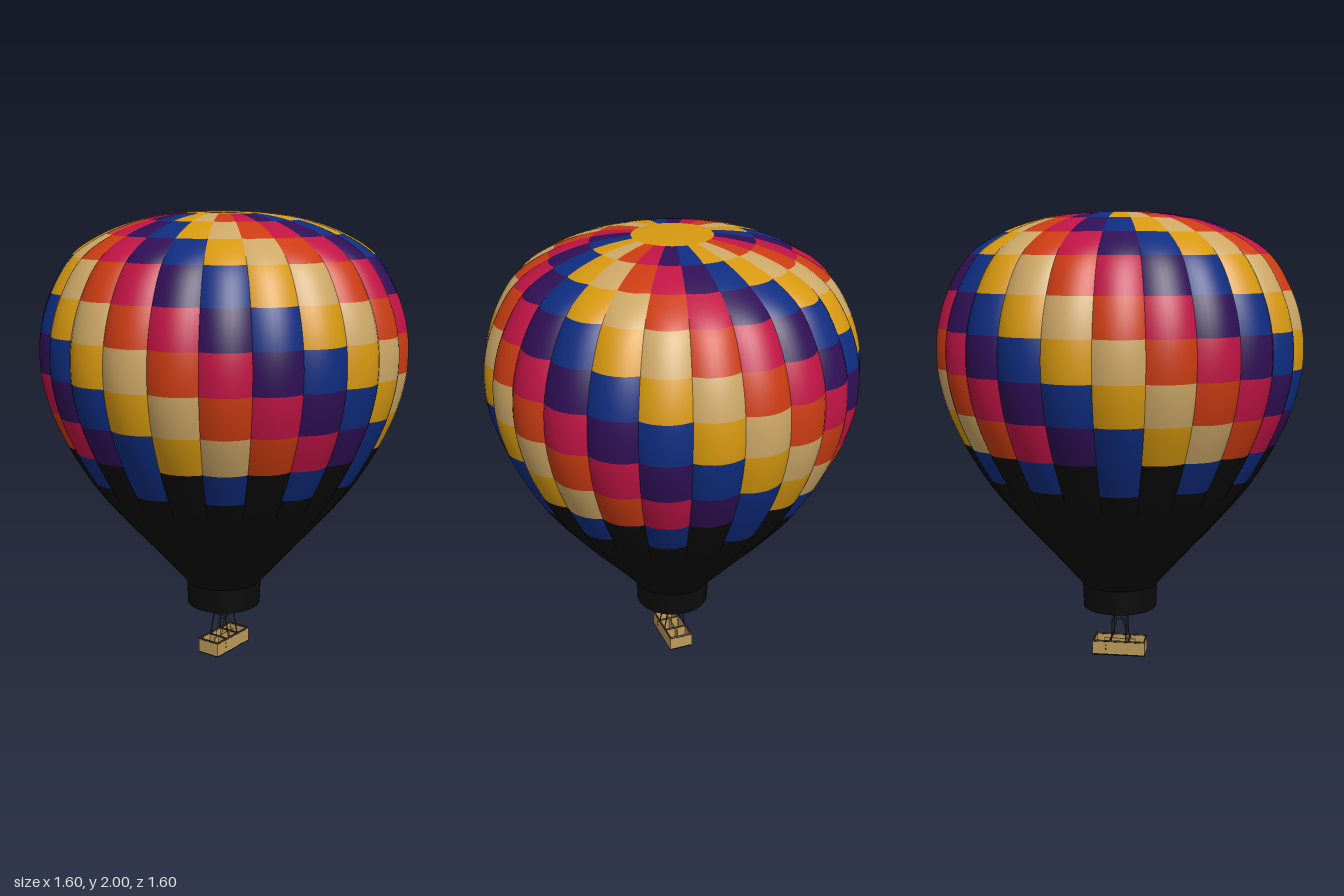
import * as THREE from 'three';
import { mergeGeometries } from 'three/addons/utils/BufferGeometryUtils.js';

const GORES = 24;
const STEP = (Math.PI * 2) / GORES;

function mat(name, color, side = THREE.DoubleSide) {
  const m = new THREE.MeshStandardMaterial({ color, side });
  m.name = name;
  return m;
}

// Envelope profile (radius, height); each knot from 5 to 13 is a panel seam
const profile = new THREE.CatmullRomCurve3([
  [0.17, 0.34], [0.31, 0.5], [0.45, 0.655], [0.57, 0.8], [0.617, 0.87],
  [0.697, 1.01], [0.765, 1.17], [0.802, 1.34], [0.797, 1.51], [0.748, 1.67],
  [0.653, 1.82], [0.512, 1.91], [0.342, 1.968], [0.17, 1.994], [0, 2],
].map(([r, y]) => new THREE.Vector3(r, y, 0)));
const LAST = 14;

// Point on the billowed fabric: gore index, position u across it, knot k up it
function fabric(gore, u, k) {
  const p = profile.getPoint(THREE.MathUtils.clamp(k / LAST, 0, 1));
  const fade = THREE.MathUtils.clamp(Math.min(k / 4, (13 - k) / 3), 0, 1);
  const r = p.x * (1 - 0.035 * fade * (1 - 4 * u * (1 - u)));
  const a = (gore + u) * STEP;
  return new THREE.Vector3(r * Math.sin(a), p.y, r * Math.cos(a));
}

// One fabric panel between knots k0 and k1 of a gore
function panel(gore, k0, k1) {
  const nu = 8, nv = 5 * (k1 - k0), e = 0.005;
  const pos = [], nor = [], idx = [];
  for (let j = 0; j <= nv; j++) {
    for (let i = 0; i <= nu; i++) {
      const u = i / nu, k = k0 + ((k1 - k0) * j) / nv;
      pos.push(...fabric(gore, u, k).toArray());
      const du = fabric(gore, u + e, k).sub(fabric(gore, u - e, k));
      const dv = fabric(gore, u, k + e).sub(fabric(gore, u, k - e));
      const n = k > LAST - 0.01 ? new THREE.Vector3(0, 1, 0) : du.cross(dv).normalize();
      nor.push(...n.toArray());
      if (i < nu && j < nv) {
        const a = j * (nu + 1) + i, b = a + nu + 1;
        idx.push(a, a + 1, b + 1, a, b + 1, b);
      }
    }
  }
  const g = new THREE.BufferGeometry();
  g.setAttribute('position', new THREE.Float32BufferAttribute(pos, 3));
  g.setAttribute('normal', new THREE.Float32BufferAttribute(nor, 3));
  g.setIndex(idx);
  return g;
}

export function createModel() {
  const model = new THREE.Group();
  model.name = 'hotAirBalloon';

  const palette = [
    mat('gold', 0xd6980f), mat('cream', 0xcca766), mat('orange', 0xcb3c12),
    mat('crimson', 0xc01445), mat('purple', 0x301056), mat('blue', 0x0f2d80),
  ];
  const black = mat('black', 0x0b0b0b);
  const wicker = mat('wicker', 0xbd9a58);
  const darkBrown = mat('darkBrown', 0x35271a);
  const metal = mat('metal', 0x2c2c30);

  function add(parent, name, geometry, material, x = 0, y = 0, z = 0) {
    const m = new THREE.Mesh(geometry, material);
    m.name = name;
    m.position.set(x, y, z);
    parent.add(m);
    return m;
  }
  function rod(parent, name, from, to, radius, material, sides = 6) {
    const a = new THREE.Vector3(...from), b = new THREE.Vector3(...to);
    const m = add(parent, name, new THREE.CylinderGeometry(radius, radius, a.distanceTo(b), sides), material);
    m.position.copy(a).add(b).multiplyScalar(0.5);
    m.quaternion.setFromUnitVectors(new THREE.Vector3(0, 1, 0), b.sub(a).normalize());
    return m;
  }

  // Envelope: colours spiral one gore per row around the body
  const envelope = new THREE.Group();
  envelope.name = 'envelope';
  model.add(envelope);
  const patches = palette.map(() => []);
  const dark = [];
  for (let i = 0; i < GORES; i++) {
    dark.push(panel(i, 0, 4));
    (i % 2 ? dark : patches[5]).push(panel(i, 4, 5));
    for (let row = 0; row < 8; row++) patches[(5 + i + row) % 6].push(panel(i, 5 + row, 6 + row));
    patches[0].push(panel(i, 13, 14));
  }
  palette.forEach((m, c) => add(envelope, m.name + 'Panels', mergeGeometries(patches[c]), m));
  add(envelope, 'lowerEnvelope', mergeGeometries(dark), black);

  // Skirt around the open mouth
  add(envelope, 'skirt', new THREE.CylinderGeometry(0.17, 0.166, 0.115, 48, 1, true), black, 0, 0.2875, 0);

  // Basket: floor, walls, partitions and padded rim
  const basket = new THREE.Group();
  basket.name = 'basket';
  model.add(basket);
  const W = 0.055, D = 0.12, H = 0.066;
  add(basket, 'floor', new THREE.BoxGeometry(2 * W, 0.006, 2 * D), black, 0, 0.003, 0);
  for (const s of [-1, 1]) {
    add(basket, 'sideWall', new THREE.BoxGeometry(0.006, H - 0.004, 2 * D), wicker, s * (W - 0.003), H / 2 + 0.002, 0);
    add(basket, 'endWall', new THREE.BoxGeometry(2 * W - 0.012, H - 0.004, 0.006), wicker, 0, H / 2 + 0.002, s * (D - 0.003));
    add(basket, 'partition', new THREE.BoxGeometry(2 * W - 0.012, H - 0.008, 0.005), wicker, 0, H / 2 + 0.002, s * 0.042);
    rod(basket, 'sideRim', [s * (W - 0.003), H, -D], [s * (W - 0.003), H, D], 0.0045, darkBrown, 8);
    rod(basket, 'endRim', [-W, H, s * (D - 0.003)], [W, H, s * (D - 0.003)], 0.0045, darkBrown, 8);
    rod(basket, 'partitionRim', [-W, H - 0.002, s * 0.042], [W, H - 0.002, s * 0.042], 0.004, darkBrown, 8);
    for (const y of [0.028, 0.047]) {
      add(basket, 'foothold', new THREE.BoxGeometry(0.002, 0.008, 0.007), darkBrown, s * W, y, 0.058 * s);
    }
  }
  add(basket, 'centrePartition', new THREE.BoxGeometry(0.005, H - 0.008, 2 * D - 0.084 - 0.012), wicker, 0, H / 2 + 0.002, 0);

  // Burner frame on four uprights, with burners and suspension ropes
  const burner = new THREE.Group();
  burner.name = 'burnerFrame';
  model.add(burner);
  const fx = 0.033, fz = 0.031, fy = 0.167;
  for (const s of [-1, 1]) {
    rod(burner, 'frameSide', [s * fx, fy, -fz], [s * fx, fy, fz], 0.0025, metal);
    rod(burner, 'frameEnd', [-fx, fy, s * fz], [fx, fy, s * fz], 0.0025, metal);
    for (const t of [-1, 1]) {
      rod(burner, 'upright', [s * 0.052, H, t * 0.033], [s * fx, fy, t * fz], 0.0028, metal);
      rod(burner, 'fuelHose', [s * 0.016, H - 0.01, t * 0.042], [s * 0.012, fy, t * 0.012], 0.001, metal);
      add(burner, 'burner', new THREE.CylinderGeometry(0.009, 0.008, 0.02, 12), metal, s * 0.012, 0.177, t * 0.012);
    }
    rod(burner, 'crossBar', [-fx, fy, s * 0.012], [fx, fy, s * 0.012], 0.002, metal);
  }
  for (let i = 0; i < GORES; i++) {
    const a = (i + 0.5) * STEP, x = Math.sin(a), z = Math.cos(a);
    rod(burner, 'rope', [Math.sign(x) * fx, fy, Math.sign(z) * fz], [x * 0.165, 0.25, z * 0.165], 0.0006, wicker, 4);
  }

  return model;
}
